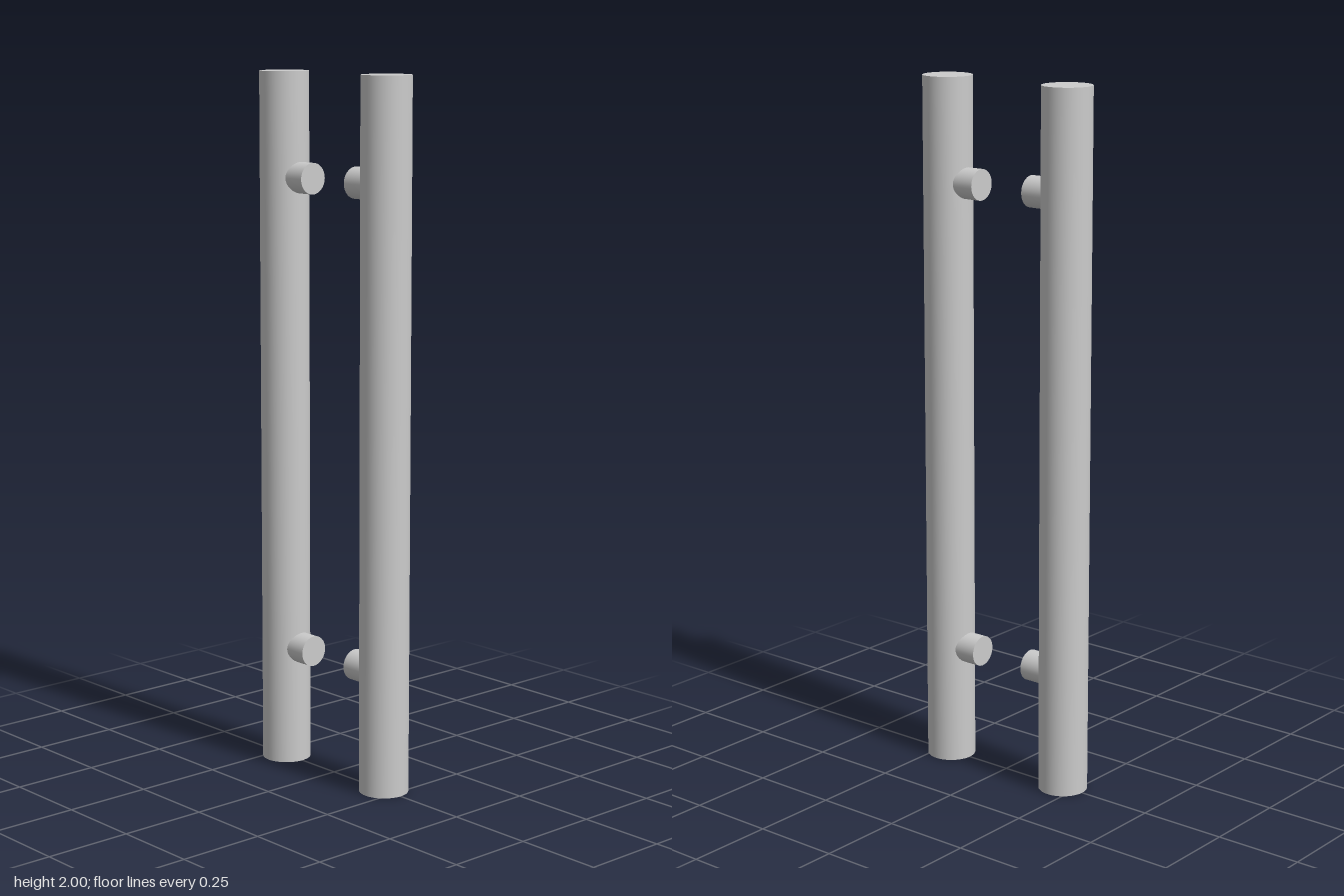
import * as THREE from 'three';

const BAR_RADIUS = 0.07, BAR_HEIGHT = 2, BAR_Z = 0.209;
const POST_RADIUS = 0.044, POST_INNER_Z = 0.088, POST_OUTER_Z = 0.16;
const POST_HEIGHTS = { lower: 0.343, upper: 1.705 };

export function createModel() {
  const model = new THREE.Group();
  model.name = 'doublePullHandle';
  const material = new THREE.MeshStandardMaterial({ color: 0xcccccc });

  const barGeometry = new THREE.CylinderGeometry(BAR_RADIUS, BAR_RADIUS, BAR_HEIGHT, 48);
  const postLength = POST_OUTER_Z - POST_INNER_Z;
  const postGeometry = new THREE.CylinderGeometry(POST_RADIUS, POST_RADIUS, postLength, 40);
  postGeometry.rotateX(Math.PI / 2);

  // One handle on each side of the door gap
  for (const [side, sign] of [['front', 1], ['back', -1]]) {
    const handle = new THREE.Group();
    handle.name = `${side}Handle`;

    // Upright grip bar
    const bar = new THREE.Mesh(barGeometry, material);
    bar.name = `${side}Bar`;
    bar.position.set(0, BAR_HEIGHT / 2, sign * BAR_Z);
    handle.add(bar);

    // Short mounting posts, sunk slightly into the bar
    for (const [level, y] of Object.entries(POST_HEIGHTS)) {
      const post = new THREE.Mesh(postGeometry, material);
      post.name = `${side}${level === 'upper' ? 'Upper' : 'Lower'}Post`;
      post.position.set(0, y, sign * (POST_INNER_Z + POST_OUTER_Z) / 2);
      handle.add(post);
    }
    model.add(handle);
  }
  return model;
}
